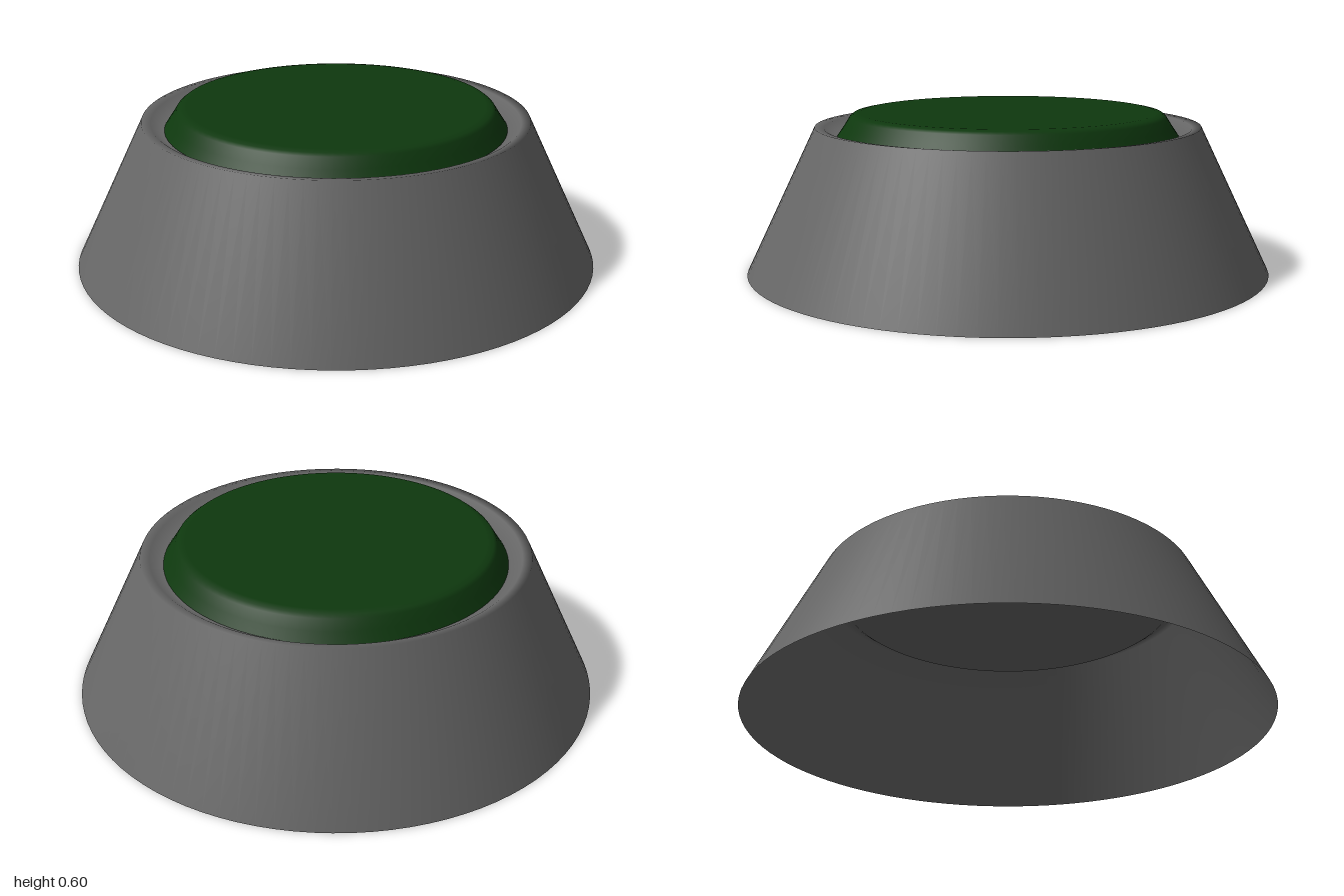
import * as THREE from 'three';

const SEGMENTS = 96;

// Revolve a list of [radius, height] points around the y axis
function revolve(name, profile, material) {
  const points = profile.map(([r, y]) => new THREE.Vector2(r, y));
  const mesh = new THREE.Mesh(new THREE.LatheGeometry(points, SEGMENTS), material);
  mesh.name = name;
  return mesh;
}

export function createModel() {
  const housingGrey = new THREE.MeshStandardMaterial({ color: 0x666666, side: THREE.DoubleSide });
  housingGrey.name = 'housing grey';
  const padGreen = new THREE.MeshStandardMaterial({ color: 0x0e380e });
  padGreen.name = 'pad green';

  const model = new THREE.Group();
  model.name = 'roundButton';

  // Hollow conical housing, open below, with a rim that dips into a shallow seat
  model.add(revolve('housing', [
    [1, 0], [0.735, 0.55], [0.7, 0.545], [0.65, 0.51], [0, 0.51],
  ], housingGrey));

  // Raised pad with a softened edge
  model.add(revolve('pad', [
    [0.65, 0.513], [0.625, 0.55], [0.603, 0.585], [0.59, 0.595], [0.565, 0.6], [0, 0.6],
  ], padGreen));

  return model;
}
